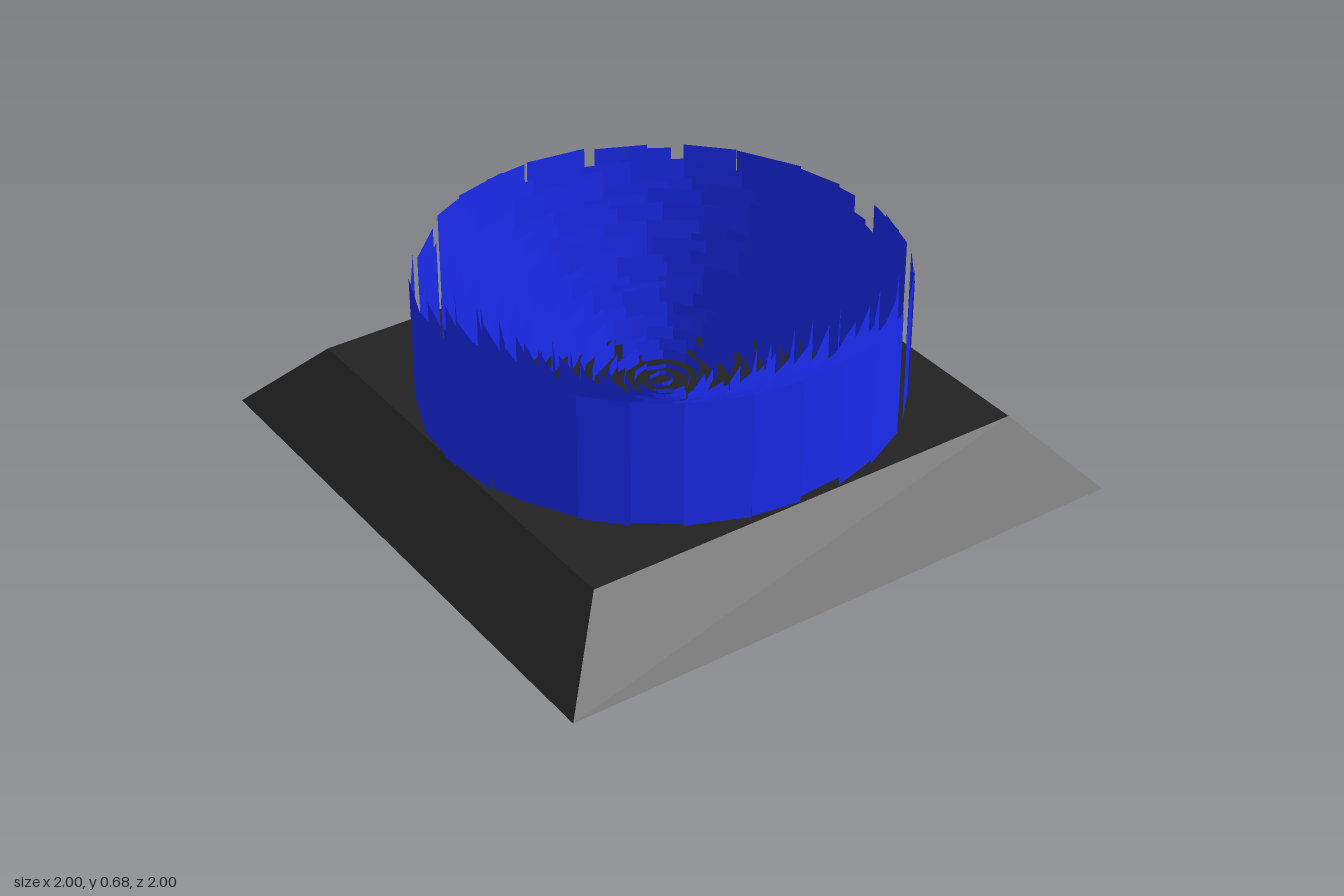
import * as THREE from 'three';
import { mergeGeometries } from 'three/addons/utils/BufferGeometryUtils.js';

const BASE_TOP = 0.24, RIM_RADIUS = 0.78, RIM_HEIGHT = 0.44;

// Small seeded generator for the irregular panels
function seeded(seed) {
  return () => {
    seed = (seed * 1664525 + 1013904223) % 4294967296;
    return seed / 4294967296;
  };
}

// Square block with sloping sides
function makeBase() {
  const geometry = new THREE.BoxGeometry(2, BASE_TOP, 2).toNonIndexed();
  const p = geometry.attributes.position;
  for (let i = 0; i < p.count; i++) {
    const s = p.getY(i) > 0 ? 0.78 : 1;
    p.setXYZ(i, p.getX(i) * s, p.getY(i) + BASE_TOP / 2, p.getZ(i) * s);
  }
  geometry.computeVertexNormals();
  const mesh = new THREE.Mesh(geometry, new THREE.MeshStandardMaterial({ color: 0x222222 }));
  mesh.name = 'base';
  return mesh;
}

// One thin upright panel, tangent to a circle around the centre
function makePanel(angle, radius, width, height) {
  return new THREE.PlaneGeometry(width, height)
    .translate(0, BASE_TOP + height / 2, radius)
    .rotateY(angle);
}

export function createModel() {
  const model = new THREE.Group();
  model.name = 'panelBowl';
  model.add(makeBase());

  const blue = new THREE.MeshStandardMaterial({ color: 0x1a2aee, side: THREE.DoubleSide });
  const bowl = new THREE.Group();
  bowl.name = 'bowl';
  model.add(bowl);

  // Concentric rings of panels, lower towards the middle
  const random = seeded(17);
  const rings = 18;
  for (let i = 1; i <= rings; i++) {
    const ringRadius = (RIM_RADIUS * i) / rings;
    const count = Math.round(8 + 20 * (i / rings));
    const step = (Math.PI * 2) / count;
    const panels = [];
    for (let j = 0; j < count; j++) {
      const angle = (j + 0.6 * random() + (i % 2) * 0.5) * step;
      const radius = Math.max(0.02, ringRadius - 0.035 * random() * random());
      const width = ringRadius * step * (0.85 + 0.5 * random());
      const height = RIM_HEIGHT * Math.pow(radius / RIM_RADIUS, 1.4);
      panels.push(makePanel(angle, radius, width, Math.max(0.015, height)));
    }
    const ring = new THREE.Mesh(mergeGeometries(panels), blue);
    ring.name = `panelRing${i}`;
    bowl.add(ring);
  }
  return model;
}
